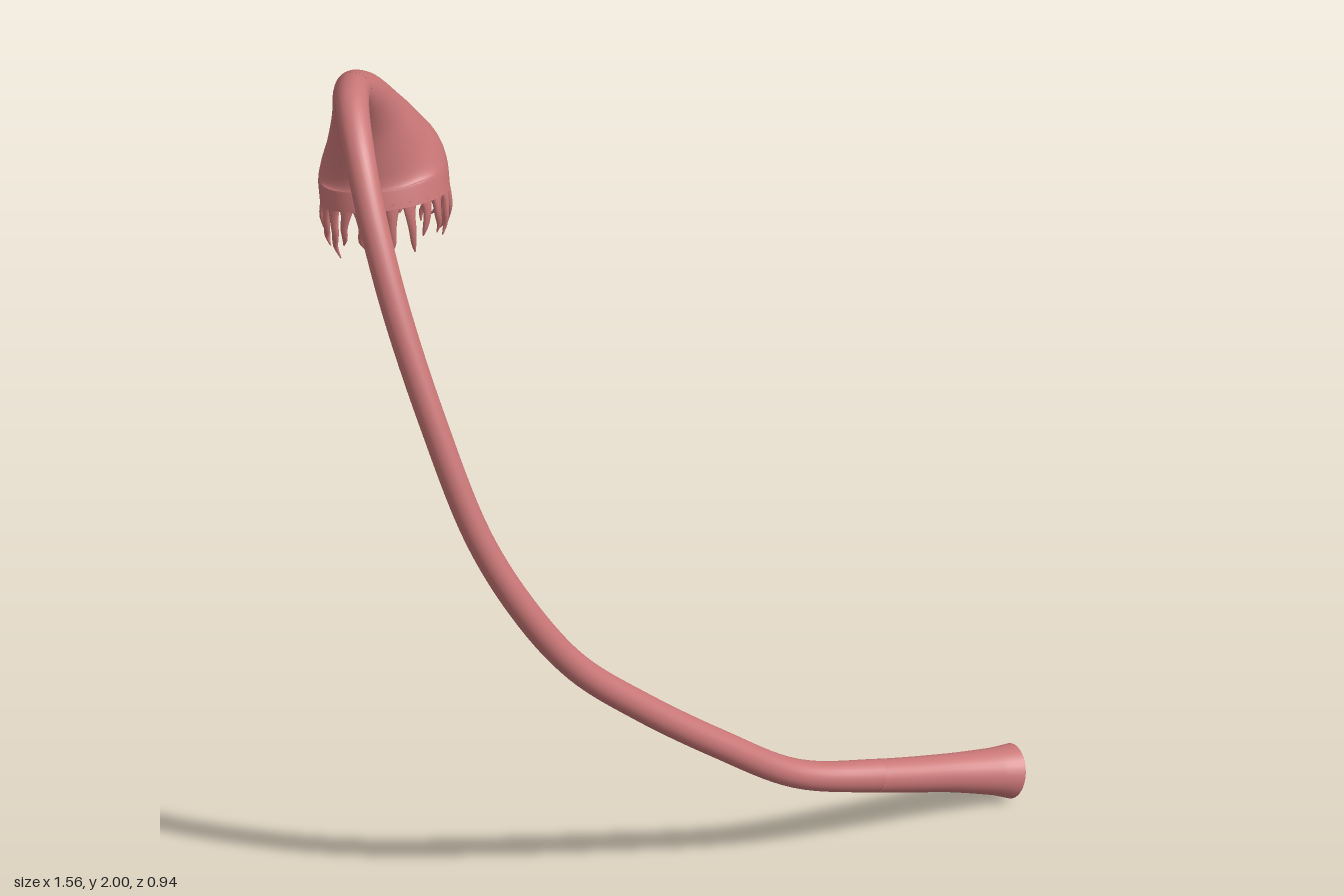
import * as THREE from 'three';

const material = new THREE.MeshStandardMaterial({ color: 0xc97676, side: THREE.DoubleSide });

// Path stations: x, y, z, radius, second radius (same as the first if missing)
const PATH = [
  [0.763, 0.068, 0.299, 0.064], [0.715, 0.082, 0.307, 0.055], [0.6, 0.115, 0.327, 0.045],
  [0.41, 0.168, 0.36, 0.039], [0.2, 0.235, 0.385, 0.034], [0, 0.37, 0.402, 0.034],
  [-0.2, 0.525, 0.418, 0.034], [-0.36, 0.67, 0.43, 0.033], [-0.48, 0.835, 0.426, 0.033],
  [-0.59, 1.05, 0.395, 0.032], [-0.675, 1.345, 0.315, 0.032], [-0.725, 1.6, 0.21, 0.033],
  [-0.74, 1.79, 0.1, 0.034], [-0.732, 1.905, 0.0, 0.036], [-0.705, 1.96, -0.11, 0.039],
  [-0.675, 1.953, -0.18, 0.042, 0.042], [-0.638, 1.9, -0.243, 0.06, 0.053],
  [-0.595, 1.81, -0.298, 0.084, 0.07], [-0.56, 1.71, -0.33, 0.12, 0.1],
  [-0.54, 1.63, -0.343, 0.15, 0.13], [-0.54, 1.56, -0.323, 0.153, 0.135],
];

// Sweeps an elliptic ring along the stations from index i0 to i1
function sweep(stations, i0, i1, ref, steps, sides) {
  const curve = new THREE.CatmullRomCurve3(stations.map(p => new THREE.Vector3(p[0], p[1], p[2])));
  const radii = new THREE.CatmullRomCurve3(stations.map((p, i) => new THREE.Vector3(p[3], p[4] ?? p[3], i)));
  const last = stations.length - 1;
  const pos = [], index = [];
  const rows = (i1 - i0) * steps;
  for (let i = 0; i <= rows; i++) {
    const t = (i0 + i / steps) / last;
    const c = curve.getPoint(t), r = radii.getPoint(t), T = curve.getTangent(t);
    const N = ref.clone().addScaledVector(T, -ref.dot(T)).normalize();
    const B = T.clone().cross(N);
    for (let j = 0; j < sides; j++) {
      const a = j / sides * Math.PI * 2;
      const p = c.clone().addScaledVector(N, Math.cos(a) * r.x).addScaledVector(B, Math.sin(a) * r.y);
      pos.push(p.x, p.y, p.z);
      if (i === rows) continue;
      const k = i * sides + j, n = i * sides + (j + 1) % sides;
      index.push(k, n, k + sides, n, n + sides, k + sides);
    }
  }
  const g = new THREE.BufferGeometry();
  g.setAttribute('position', new THREE.Float32BufferAttribute(pos, 3));
  g.setIndex(index);
  g.computeVertexNormals();
  return g;
}

function addMesh(parent, geometry, name) {
  const m = new THREE.Mesh(geometry, material);
  m.name = name;
  parent.add(m);
  return m;
}

export function createModel() {
  const model = new THREE.Group();
  model.name = 'uterineTube';
  const diagonal = new THREE.Vector3(1, 1, 0).normalize();
  const xAxis = new THREE.Vector3(1, 0, 0);

  // Flared inner end, long curved tube and bell
  addMesh(model, sweep(PATH, 0, 3, diagonal, 8, 32), 'flaredEnd');
  addMesh(model, sweep(PATH, 3, 15, diagonal, 8, 28), 'longTube');
  addMesh(model, sweep(PATH, 15, 20, xAxis, 8, 48), 'bell');

  // Shallow hollow closing the flared end
  const dish = [[0, -0.025], [0.025, -0.022], [0.045, -0.014], [0.058, -0.004], [0.064, 0]];
  const cap = addMesh(model, new THREE.LatheGeometry(dish.map(p => new THREE.Vector2(...p)), 32), 'endHollow');
  const outward = new THREE.Vector3(0.048, -0.014, -0.008).normalize();
  cap.quaternion.setFromUnitVectors(new THREE.Vector3(0, 1, 0), outward);
  cap.position.set(...PATH[0].slice(0, 3));

  // Wavy tapering fringe hanging from the tilted rim of the bell
  let seed = 7;
  const rnd = () => (seed = (seed * 16807) % 2147483647) / 2147483647;
  const fringe = new THREE.Group();
  fringe.name = 'fringe';
  model.add(fringe);
  const count = 22;
  for (let i = 0; i < count; i++) {
    const a = (i + (rnd() - 0.5) * 0.4) / count * Math.PI * 2;
    const ca = Math.cos(a), sa = Math.sin(a);
    const x = -0.54 + ca * 0.144, z = -0.323 + sa * 0.118, y = 1.566 + sa * 0.043;
    const length = 0.105 + 0.02 * sa + (rnd() - 0.5) * 0.05;
    const side = (rnd() - 0.5) * 0.036, bow = (rnd() - 0.5) * 0.024;
    const tangent = new THREE.Vector3(-sa, 0, ca);
    const stations = [[0, 0, 0.021, 0.008], [0.25, bow, 0.013, 0.008], [0.5, bow + side * 0.3, 0.01, 0.007],
      [0.8, side * 0.6 - bow, 0.007, 0.005], [1, side, 0.0015, 0.0015]].map(([t, s, r, r2]) => {
      const out = 0.008 * Math.sin(t * 3) - 0.006 * t;
      return [x + tangent.x * s + ca * out, y - t * length, z + tangent.z * s + sa * out + 0.01 * t, r, r2];
    });
    addMesh(fringe, sweep(stations, 0, 4, tangent, 3, 8), 'fringeFinger');
  }
  return model;
}
